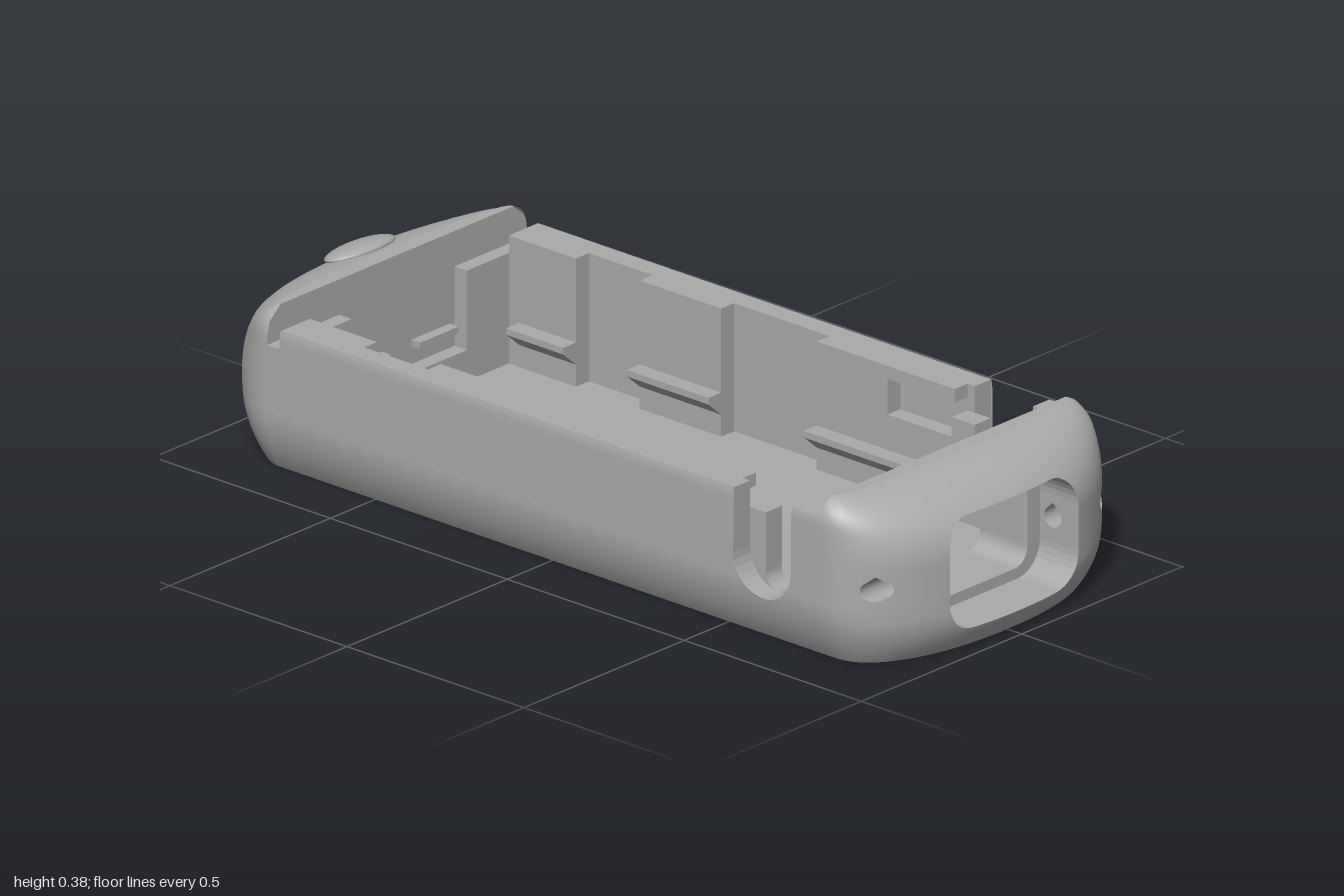
import * as THREE from 'three';

const V2 = (x, y) => new THREE.Vector2(x, y);
const XL = 0.77, XR = 0.797, L = 1.0;           // straight side limits, unrolled length of each end
const W = XL + XR, TOTAL = 2 * (W + L), TOP = 0.37;
const EXP_R = 2 / 2.2, EXP_L = 1;

// Half width of the body, and depth of its rounded ends, at height y
const halfWidth = (y) => {
  if (y < 0.14) return 0.405 - 0.045 * ((0.14 - y) / 0.14) ** 2;
  if (y < 0.31) return 0.405;
  return 0.355 + 0.05 * Math.sqrt(Math.max(0, 1 - ((y - 0.31) / 0.061) ** 2));
};
const endDepth = (y, depth, lowY, lowCut, highY, rise) => {
  if (y < lowY) return depth * (1 - lowCut * ((lowY - y) / lowY) ** 2);
  if (y < highY) return depth;
  return depth * Math.sqrt(Math.max(0, 1 - ((y - highY) / rise) ** 2));
};
const rightDepth = (y) => endDepth(y, 1 - XR, 0.1, 0.2, 0.22, 0.152);
const leftDepth = (y) => endDepth(y, 1 - XL, 0.18, 0.3, 0.18, 0.192);

// Maps the unrolled skin (s round the body, y up) into space
function skinPoint(s, y) {
  let t = (((s + XL) % TOTAL) + TOTAL) % TOTAL;
  const b = halfWidth(y), spow = (v, e) => Math.sign(v) * Math.abs(v) ** e;
  if (t < W) return new THREE.Vector3(t - XL, y, b);
  t -= W;
  if (t < L) {
    const a = (0.5 - t / L) * Math.PI;
    return new THREE.Vector3(XR + rightDepth(y) * spow(Math.cos(a), EXP_R), y, b * spow(Math.sin(a), EXP_R));
  }
  t -= L;
  if (t < W) return new THREE.Vector3(XR - t, y, -b);
  const a = ((t - W) / L - 0.5) * Math.PI;
  return new THREE.Vector3(-XL - leftDepth(y) * spow(Math.cos(a), EXP_L), y, b * spow(Math.sin(a), EXP_L));
}
const sFromSin = (sin) => XR + L * (0.5 - Math.asin(sin) / Math.PI);
const sOfZ = (z, y) => sFromSin(Math.sign(z) * (Math.abs(z) / halfWidth(y)) ** (1 / EXP_R));
const sOfX = (x, y, side) => sFromSin(side * Math.sin(Math.acos(((x - XR) / rightDepth(y)) ** (1 / EXP_R))));

// Two-dimensional outlines
const arc = (cx, cy, r, a0, a1, n) => Array.from({ length: n + 1 }, (_, i) => {
  const a = a0 + (a1 - a0) * i / n;
  return V2(cx + r * Math.cos(a), cy + r * Math.sin(a));
});
function roundRect(w, y0, y1, r) {
  const q = Math.PI / 2;
  return [[w - r, y0 + r, -q], [w - r, y1 - r, 0], [r - w, y1 - r, q], [r - w, y0 + r, 2 * q]]
    .flatMap(([x, y, a]) => arc(x, y, r, a, a + q, 8));
}
const uSlot = (x0, x1, y0, n = 16) => {
  const r = (x1 - x0) / 2;
  return arc((x0 + x1) / 2, y0 + r, r, Math.PI, 2 * Math.PI, n);
};
const tearDrop = [...arc(0.907, 0.178, 0.024, Math.PI * 0.8, Math.PI * 2.2, 18), V2(0.907, 0.21)];
const opening = roundRect(0.2, 0.05, 0.3, 0.07);
const innerOpening = roundRect(0.162, 0.075, 0.275, 0.04);

const shapeOf = (pts, holes = []) => {
  const s = new THREE.Shape(pts);
  s.holes = holes.map((h) => new THREE.Path(h));
  return s;
};
const extrude = (shape, depth) => new THREE.ExtrudeGeometry(shape, { depth, bevelEnabled: false, curveSegments: 12 });
const extrudeX = (shape, x0, x1) => extrude(shape, x1 - x0).rotateY(Math.PI / 2).translate(x0, 0, 0);

// Body cross-section between two heights, with an optional notch in its top
function section(y0, y1, holes = [], notch = null) {
  const side = Array.from({ length: 13 }, (_, i) => {
    const y = y0 + (y1 - y0) * i / 12;
    return V2(halfWidth(y) - 0.001, y);
  });
  const cut = notch ? [V2(notch.w, y1), V2(notch.w, notch.y), V2(-notch.w, notch.y), V2(-notch.w, y1)] : [];
  return shapeOf([...side, ...cut, ...side.slice().reverse().map((p) => V2(-p.x, p.y))], holes);
}

// Splits long triangles of the unrolled shape, then bends it onto the body
function bendSkin(shape, maxLength) {
  const flat = new THREE.ShapeGeometry(shape), p = flat.attributes.position, idx = flat.index.array;
  const pos = [], nor = [], e = 0.002;
  const make = (s, y) => ({ s, y, v: skinPoint(s, y) });
  const length = (a, b) => Math.max(Math.hypot(a.s - b.s, a.y - b.y), a.v.distanceTo(b.v));
  const emit = ({ s, y, v }) => {
    const hi = Math.min(y + e, TOP);
    const n = skinPoint(s + e, y).sub(skinPoint(s - e, y))
      .cross(skinPoint(s, hi).sub(skinPoint(s, y - e))).normalize();
    pos.push(v.x, v.y, v.z);
    nor.push(n.x, n.y, n.z);
  };
  const split = (a, b, c, depth) => {
    const ab = length(a, b), bc = length(b, c), ca = length(c, a), m = Math.max(ab, bc, ca);
    if (m < maxLength || depth > 22) return [a, b, c].forEach(emit);
    if (m === bc) [a, b, c] = [b, c, a];
    else if (m === ca) [a, b, c] = [c, a, b];
    const mid = make((a.s + b.s) / 2, (a.y + b.y) / 2);
    split(a, mid, c, depth + 1);
    split(mid, b, c, depth + 1);
  };
  for (let i = 0; i < idx.length; i += 3) {
    split(...[0, 1, 2].map((k) => make(p.getX(idx[i + k]), p.getY(idx[i + k]))), 0);
  }
  const g = new THREE.BufferGeometry();
  g.setAttribute('position', new THREE.Float32BufferAttribute(pos, 3));
  g.setAttribute('normal', new THREE.Float32BufferAttribute(nor, 3));
  return g;
}

// Closed strip between two loops, leaving out chosen quads
function strip(a, b, skip = []) {
  const pos = [], n = a.length;
  for (let i = 0; i < n; i++) {
    if (skip.includes(i)) continue;
    const j = (i + 1) % n;
    for (const v of [a[i], b[i], a[j], a[j], b[i], b[j]]) pos.push(v.x, v.y, v.z);
  }
  const g = new THREE.BufferGeometry();
  g.setAttribute('position', new THREE.Float32BufferAttribute(pos, 3));
  g.computeVertexNormals();
  return g;
}

export function createModel() {
  const group = new THREE.Group();
  const grey = new THREE.MeshStandardMaterial({ color: 0xaaaaaa, side: THREE.DoubleSide });
  grey.name = 'plain grey';
  const add = (name, geometry) => {
    const m = new THREE.Mesh(geometry, grey);
    m.name = name;
    group.add(m);
    return m;
  };
  const box = (name, x0, x1, y0, y1, z0, z1) => add(name,
    new THREE.BoxGeometry(x1 - x0, y1 - y0, Math.abs(z1 - z0)).translate((x0 + x1) / 2, (y0 + y1) / 2, (z0 + z1) / 2));

  // Outer skin with stepped rim, side slots, end opening and cord holes
  const slot = uSlot(0.55, 0.715, 0.1);
  const rim = [V2(-XL, TOP), V2(-0.765, TOP), V2(-0.765, 0.29), V2(-0.73, 0.29), V2(-0.73, 0.33), V2(0.55, 0.33),
    ...slot, V2(0.715, 0.33), V2(0.795, 0.33), V2(0.795, TOP)];
  const backRim = rim.slice().reverse().map((p) => V2(2 * XR + L - p.x, p.y));
  const end = TOTAL - XL;
  const openingOnSkin = opening.map((p) => V2(sOfZ(p.x, p.y), p.y));
  const dropsOnSkin = [1, -1].map((side) => tearDrop.map((p) => V2(sOfX(p.x, p.y, side), p.y)));
  add('outerSkin', bendSkin(shapeOf([...rim, ...backRim, V2(end, TOP), V2(end, 0), V2(-XL, 0)],
    [openingOnSkin, ...dropsOnSkin]), 0.035));

  // Base plate and cap roofs
  const ring = Array.from({ length: 160 }, (_, i) => skinPoint(-XL + TOTAL * i / 160, 0));
  add('base', new THREE.ShapeGeometry(shapeOf(ring.map((v) => V2(v.x, v.z)))).rotateX(Math.PI / 2));
  for (const [name, s0, edge] of [['rightRoof', XR, 0.795], ['leftRoof', XR + L + W, -0.765]]) {
    const curve = Array.from({ length: 41 }, (_, i) => skinPoint(s0 + L * i / 40, TOP)).map((v) => V2(v.x, -v.z));
    const z = halfWidth(TOP) * Math.sign(curve[40].y);
    add(name, new THREE.ShapeGeometry(shapeOf([...curve, V2(edge, z), V2(edge, -z)]))
      .rotateX(-Math.PI / 2).translate(0, TOP, 0));
  }

  // Bulkheads closing the caps towards the cavity
  add('leftBulkhead', extrudeX(section(0.02, TOP), -0.769, -0.765));
  add('leftLedge', extrudeX(section(0.02, 0.29, [], { w: 0.18, y: 0.11 }), -0.765, -0.73));
  add('rightBulkhead', extrudeX(section(0.02, TOP, [opening]), 0.795, 0.797));
  add('rightLedge', extrudeX(section(0.02, 0.33, [opening]), 0.735, 0.795));
  add('openingFrame', extrudeX(shapeOf(opening, [innerOpening]), 0.735, 0.87));

  // Tunnel of the end opening; its flat sides carry the cord holes
  const mouth = opening.map((p) => skinPoint(sOfZ(p.x, p.y), p.y));
  add('openingTunnel', strip(mouth, opening.map((p) => new THREE.Vector3(0.87, p.y, p.x)), [8, 26]));
  const sideEdge = Array.from({ length: 9 }, (_, i) => 0.12 + 0.11 * i / 8)
    .map((y) => V2(skinPoint(sOfZ(0.2, y), y).x, y));
  for (const side of [1, -1]) {
    add('tunnelSide', new THREE.ShapeGeometry(shapeOf([V2(0.87, 0.12), ...sideEdge, V2(0.87, 0.23)], [tearDrop]))
      .translate(0, 0, side * 0.2));
    add('cordHole', strip(tearDrop.map((p) => skinPoint(sOfX(p.x, p.y, side), p.y)),
      tearDrop.map((p) => new THREE.Vector3(p.x, p.y, side * 0.2))));
  }

  // Cavity floor
  box('floor', -0.74, 0.74, 0.005, 0.04, -0.355, 0.355);

  // Side walls, inner liners, slot liners and rails
  const wallShape = shapeOf([V2(-0.73, 0.04), V2(-0.73, 0.33), V2(0.55, 0.33), ...slot,
    V2(0.715, 0.33), V2(0.735, 0.33), V2(0.735, 0.04)]);
  const linerShape = shapeOf([V2(0.53, 0.04), V2(0.53, 0.27), V2(0.595, 0.27), ...uSlot(0.595, 0.665, 0.1),
    V2(0.665, 0.27), V2(0.735, 0.27), V2(0.735, 0.04)]);
  const liners = { 1: [[-0.73, -0.54], [-0.36, 0.34]], '-1': [[-0.73, -0.54], [-0.36, -0.13], [0.14, 0.34]] };
  const rails = { 1: [[-0.7, -0.54], [-0.36, 0.53]], '-1': [[-0.7, -0.54], [-0.36, -0.13], [0.14, 0.53]] };
  for (const side of [1, -1]) {
    const wall = extrude(wallShape, 0.05), p = wall.attributes.position;
    for (let i = 0; i < p.count; i++) {
      p.setZ(i, side * (p.getZ(i) > 0.01 ? halfWidth(p.getY(i)) - 0.002 : 0.35));
    }
    wall.computeVertexNormals();
    if (side < 0) {                               // mirrored copy: swap corners so faces point outwards
      for (let i = 0; i < p.count; i += 3) {
        const a = new THREE.Vector3().fromBufferAttribute(p, i), b = new THREE.Vector3().fromBufferAttribute(p, i + 1);
        p.setXYZ(i, b.x, b.y, b.z);
        p.setXYZ(i + 1, a.x, a.y, a.z);
      }
      wall.computeVertexNormals();
    }
    add('sideWall', wall);
    add('slotLiner', extrude(linerShape, 0.05).translate(0, 0, side > 0 ? 0.3 : -0.35));
    for (const [x0, x1] of liners[side]) box('wallLiner', x0, x1, 0.04, 0.33, side * 0.31, side * 0.35);
    box('lowerLiner', 0.34, 0.53, 0.04, 0.22, side * 0.31, side * 0.35);
    box('topLiner', 0.34, 0.53, 0.3, 0.33, side * 0.31, side * 0.35);
    for (const [x0, x1] of rails[side]) {
      const profile = shapeOf([V2(-side * 0.31, 0.09), V2(-side * 0.27, 0.125), V2(-side * 0.27, 0.14), V2(-side * 0.31, 0.14)]);
      add('rail', extrudeX(profile, x0, x1));
    }
    box('contactLedge', -0.765, -0.74, 0.15, 0.165, side * 0.045, side * 0.165);
  }

  // Oval button on the left cap
  const button = add('button', new THREE.SphereGeometry(1, 40, 24));
  button.scale.set(0.055, 0.018, 0.095);
  button.rotation.z = 0.3;
  button.position.set(-0.87, 0.355, 0);
  return group;
}
